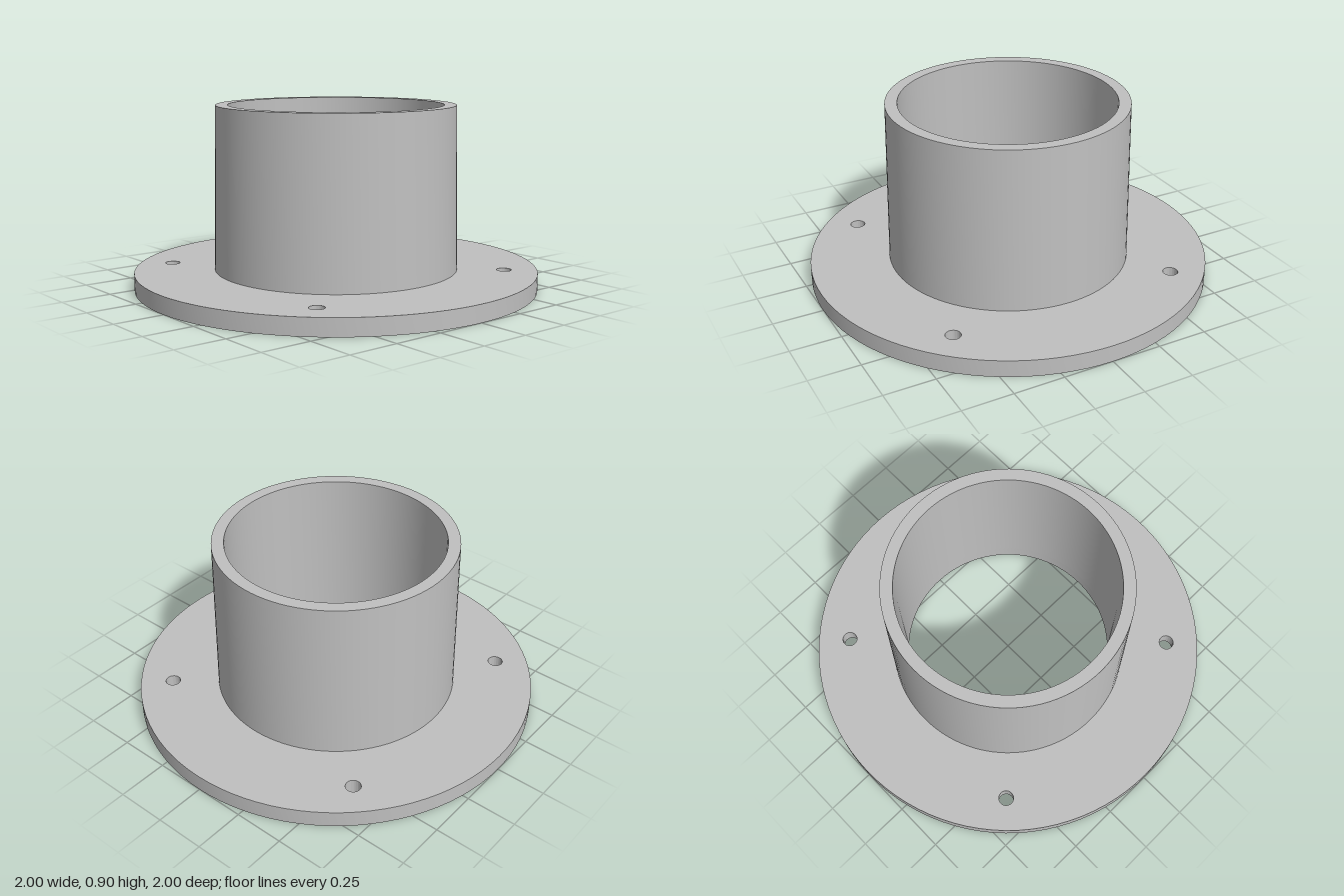
import * as THREE from 'three';
import { toCreasedNormals } from 'three/addons/utils/BufferGeometryUtils.js';

const SEGMENTS = 96;
const BORE = 0.532;
const FLANGE_TOP = 0.085;
const HEIGHT = 0.9;
const BOLT = 0.592;

function circle(path, x, y, r) {
  path.absarc(x, y, r, 0, Math.PI * 2, false);
  return path;
}

export function createModel() {
  const model = new THREE.Group();
  model.name = 'flangedCollar';
  const metal = new THREE.MeshStandardMaterial({ color: 0xc0c0c0 });
  metal.name = 'light grey metal';

  function add(name, geometry) {
    const mesh = new THREE.Mesh(toCreasedNormals(geometry, 0.6), metal);
    mesh.name = name;
    model.add(mesh);
  }

  // Round base plate with the bore and four bolt holes
  const plate = circle(new THREE.Shape(), 0, 0, 1);
  plate.holes.push(circle(new THREE.Path(), 0, 0, BORE));
  for (const x of [-BOLT, BOLT]) {
    for (const y of [-BOLT, BOLT]) {
      plate.holes.push(circle(new THREE.Path(), x, y, 0.037));
    }
  }
  const flange = new THREE.ExtrudeGeometry(plate, {
    depth: FLANGE_TOP, bevelEnabled: false, curveSegments: SEGMENTS / 2,
  });
  flange.rotateX(-Math.PI / 2);
  add('flange', flange);

  // Slightly tapered tube with a straight bore and flat rim
  const profile = [
    [0.605, FLANGE_TOP], [0.592, HEIGHT], [BORE, HEIGHT], [BORE, FLANGE_TOP],
  ].map(([r, y]) => new THREE.Vector2(r, y));
  add('collar', new THREE.LatheGeometry(profile, SEGMENTS));

  return model;
}
